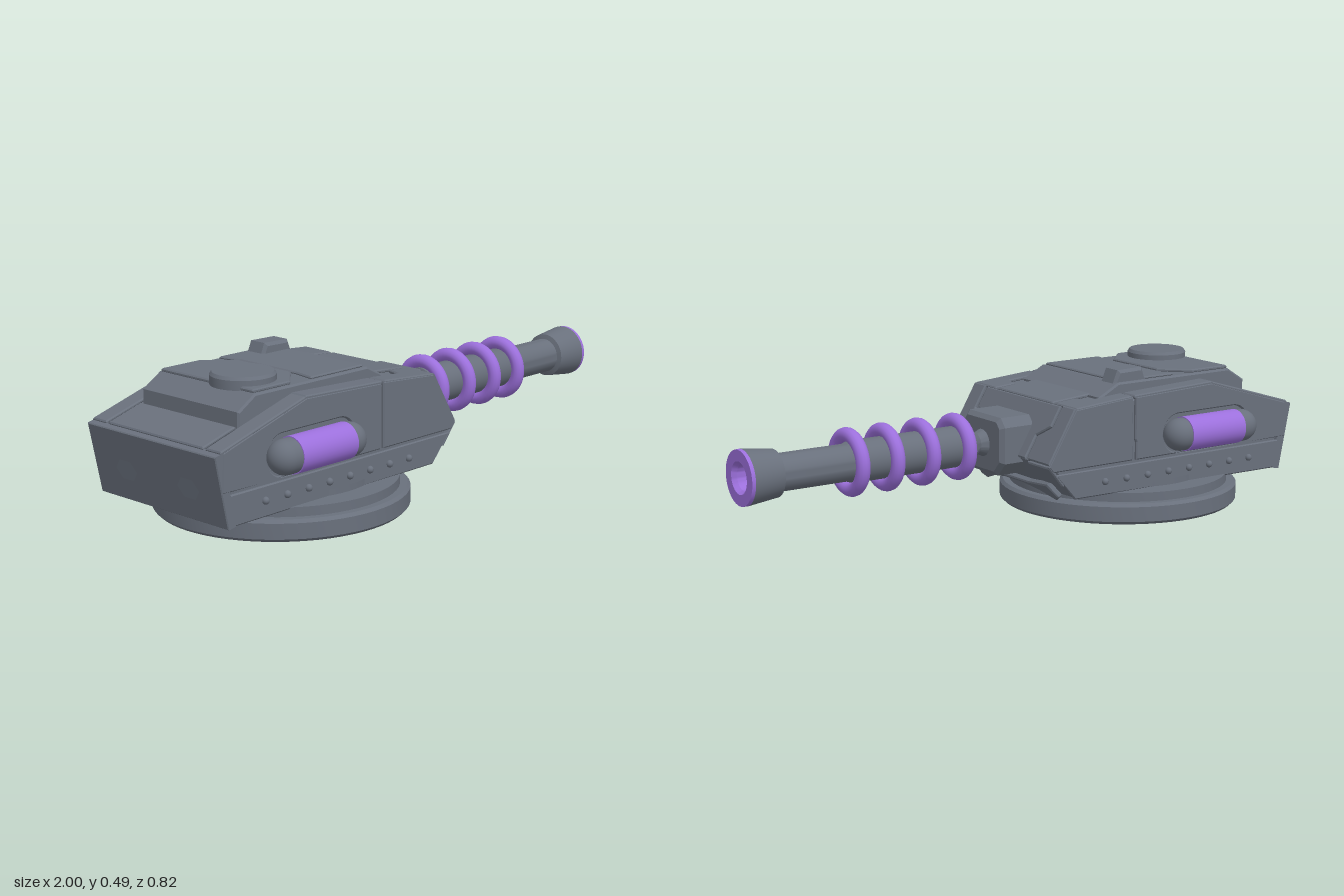
import * as THREE from 'three';
import { toCreasedNormals } from 'three/addons/utils/BufferGeometryUtils.js';

export function createModel() {
  const root = new THREE.Group();
  root.name = 'turret';
  const gunmetal = new THREE.MeshStandardMaterial({ color: 0x69707c });
  gunmetal.name = 'gunmetal grey';
  const violet = new THREE.MeshStandardMaterial({ color: 0x9c70dc });
  violet.name = 'energy violet';

  function add(name, geometry, material = gunmetal, x = 0, y = 0, z = 0) {
    const mesh = new THREE.Mesh(geometry, material);
    mesh.name = name;
    mesh.position.set(x, y, z);
    root.add(mesh);
    return mesh;
  }
  const shapeOf = (pts) => new THREE.Shape(pts.map(([x, y]) => new THREE.Vector2(x, y)));

  // Extrusion whose bevel stays inside the outline and the given depth
  function extrude(shape, depth, bevel) {
    const g = new THREE.ExtrudeGeometry(shape, {
      depth: depth - 2 * bevel, bevelEnabled: bevel > 0, bevelSize: bevel,
      bevelThickness: bevel, bevelOffset: -bevel, bevelSegments: 1, curveSegments: 12,
    });
    return g.translate(0, 0, bevel);
  }

  // Side profile extruded symmetrically across the hull
  const across = (name, pts, halfWidth, bevel) =>
    add(name, extrude(shapeOf(pts), 2 * halfWidth, bevel), gunmetal, 0, 0, -halfWidth);

  // Armour plate lying on a slope: points are [z, distance along the slope]
  function slopePlate(name, from, to, pts, depth, bevel = 0.004, holes = []) {
    const v = new THREE.Vector3(to[0] - from[0], to[1] - from[1], 0).normalize();
    const n = new THREE.Vector3(v.y, -v.x, 0);
    const flip = (list) => list.map(([z, t]) => [-z, t]);
    const shape = shapeOf(flip(pts));
    holes.forEach((h) => shape.holes.push(shapeOf(flip(h))));
    const mesh = add(name, extrude(shape, depth, bevel));
    const m = new THREE.Matrix4().makeBasis(new THREE.Vector3(0, 0, -1), v, n);
    mesh.quaternion.setFromRotationMatrix(m);
    mesh.position.set(from[0], from[1], 0);
  }
  const rect = (z0, z1, t0, t1) => [[z0, t0], [z1, t0], [z1, t1], [z0, t1]];

  // Profile [radius, x] turned around the barrel axis
  function turned(name, pts, material, y = 0.26) {
    const g = new THREE.LatheGeometry(pts.map(([r, x]) => new THREE.Vector2(r, x)), 40);
    g.rotateZ(-Math.PI / 2);
    return add(name, toCreasedNormals(g, 0.5), material, 0, y, 0);
  }

  // Turntable
  const basePts = [[0, 0], [0.4, 0], [0.41, 0.01], [0.41, 0.06], [0.4, 0.07], [0.377, 0.07],
    [0.377, 0.1], [0.3, 0.1], [0.3, 0.12]].map(([r, y]) => new THREE.Vector2(r, y));
  add('turntable', toCreasedNormals(new THREE.LatheGeometry(basePts, 64), 0.5), gunmetal, -0.46);

  // Hull core, slightly inside the armour plates
  across('hullCore', [[-0.925, 0.095], [-0.06, 0.105], [0.036, 0.22], [-0.066, 0.39],
    [-0.25, 0.404], [-0.63, 0.418], [-0.965, 0.318]], 0.279, 0.008);

  // Raised roof and its forward-pointing rear panel
  across('raisedRoof', [[-0.84, 0.35], [-0.84, 0.405], [-0.77, 0.449], [-0.29, 0.449],
    [-0.21, 0.408], [-0.21, 0.39]], 0.217, 0.006);
  slopePlate('rearRoofPanel', [-0.53, 0.447], [-0.77, 0.447],
    [[-0.12, 0], [0.12, 0], [0.205, 0.085], [0.205, 0.24], [-0.205, 0.24], [-0.205, 0.085]], 0.013);
  slopePlate('frontRoofPanel', [-0.3, 0.447], [-0.62, 0.447],
    [[-0.205, 0], [0.205, 0], [0.205, 0.23], [0.125, 0.215], [-0.125, 0.215], [-0.205, 0.23]], 0.01);

  // Round hatch and sight box
  const hatchPts = [[0.102, 0], [0.102, 0.03], [0.095, 0.04], [0, 0.04]];
  add('hatch', toCreasedNormals(new THREE.LatheGeometry(
    hatchPts.map(([r, y]) => new THREE.Vector2(r, y)), 40), 0.5), gunmetal, -0.695, 0.447, 0.083);
  const sight = extrude(shapeOf([[-0.42, 0.44], [-0.28, 0.44], [-0.3, 0.488], [-0.4, 0.49]]), 0.08, 0.01);
  add('sightBox', sight, gunmetal, 0, 0, -0.205);

  // Rear plate with two hexagonal pockets
  const hexagon = (cz) => [...Array(6).keys()].map((i) => [
    cz + 0.052 * Math.cos(i * Math.PI / 3), 0.13 + 0.04 * Math.sin(i * Math.PI / 3)]);
  slopePlate('rearPlate', [-0.966, 0.322], [-0.918, 0.09], rect(-0.289, 0.289, 0, 0.234),
    0.034, 0.003, [hexagon(-0.14), hexagon(0.14)]);

  // Centre armour between the cheeks
  slopePlate('noseRoof', [-0.064, 0.388], [-0.25, 0.402], rect(-0.155, 0.155, 0, 0.17), 0.013);
  slopePlate('noseFront', [0.036, 0.22], [-0.066, 0.39],
    [[-0.155, 0], [0.155, 0], [0.155, 0.085], [0.21, 0.125], [0.21, 0.2], [-0.21, 0.2],
      [-0.21, 0.125], [-0.155, 0.085]], 0.013);
  // Lower front guard with an arched edge
  slopePlate('lowerGuard', [-0.06, 0.1], [0.036, 0.22],
    [[-0.2, -0.01], [-0.13, 0.02], [-0.05, 0.035], [0.05, 0.035], [0.13, 0.02], [0.2, -0.01],
      [0.225, 0.01], [0.205, 0.065], [0.09, 0.05], [-0.09, 0.05], [-0.205, 0.065], [-0.225, 0.01]], 0.02);

  // Opening around a side pod
  const podHole = new THREE.Path();
  podHole.absarc(-0.49, 0.27, 0.066, -Math.PI / 2, Math.PI / 2, false);
  podHole.absarc(-0.73, 0.27, 0.066, Math.PI / 2, Math.PI * 1.5, false);
  podHole.closePath();

  for (const s of [1, -1]) {
    const side = s > 0 ? 'left' : 'right';
    const sidePanel = (name, shape, depth = 0.014) =>
      add(side + name, extrude(shape, depth, 0.004), gunmetal, 0, 0, s > 0 ? 0.277 : -0.277 - depth);

    // Side armour
    const rear = shapeOf([[-0.975, 0.2], [-0.31, 0.2], [-0.31, 0.26], [-0.305, 0.27], [-0.305, 0.412],
      [-0.63, 0.424], [-0.97, 0.322]]);
    rear.holes.push(podHole);
    sidePanel('SidePanel', rear);
    sidePanel('Cheek', shapeOf([[-0.295, 0.2], [-0.295, 0.414], [-0.06, 0.397], [0.047, 0.22], [0.03, 0.2]]));
    sidePanel('Skirt', shapeOf([[-0.968, 0.19], [-0.948, 0.092], [-0.06, 0.1], [0.018, 0.19]]), 0.012);

    // Cheek armour on the nose, above and below its leading edge
    slopePlate(side + 'CheekFront', [0.036, 0.22], [-0.066, 0.39],
      [[s * 0.17, 0], [s * 0.289, 0], [s * 0.289, 0.203], [s * 0.222, 0.203],
        [s * 0.222, 0.12], [s * 0.17, 0.08]], 0.014);
    slopePlate(side + 'CheekLower', [-0.03, 0.14], [0.036, 0.22], rect(s * 0.17, s * 0.289, 0.02, 0.108), 0.012);

    // Roof edge armour
    slopePlate(side + 'FrontRoofEdge', [-0.062, 0.388], [-0.25, 0.402],
      [[s * 0.17, 0], [s * 0.289, 0], [s * 0.289, 0.23], [s * 0.225, 0.23], [s * 0.225, 0.1], [s * 0.17, 0.08]], 0.013);
    slopePlate(side + 'MiddleRoofEdge', [-0.3, 0.405], [-0.63, 0.418], rect(s * 0.225, s * 0.289, 0, 0.335), 0.013);
    slopePlate(side + 'RearRoofEdge', [-0.63, 0.418], [-0.965, 0.318], rect(s * 0.225, s * 0.289, 0, 0.36), 0.012);

    // Glowing side pod
    const pod = new THREE.CapsuleGeometry(0.055, 0.27, 10, 28).rotateZ(Math.PI / 2);
    add(side + 'Pod', pod, gunmetal, -0.61, 0.27, s * 0.312);
    const band = new THREE.CylinderGeometry(0.058, 0.058, 0.23, 32).rotateZ(Math.PI / 2);
    add(side + 'PodGlow', band, violet, -0.605, 0.27, s * 0.312);

    // Skirt rivets
    for (let i = 0; i < 8; i++) {
      const rivet = new THREE.SphereGeometry(0.012, 12, 8);
      add(side + 'Rivet', rivet, gunmetal, -0.805 + i * 0.0893, 0.145, s * 0.291);
    }
  }

  // Rear roof slope in the middle
  slopePlate('rearRoofSlope', [-0.63, 0.418], [-0.965, 0.318], rect(-0.213, 0.213, 0.225, 0.36), 0.012);

  // Gun mantlet
  slopePlate('mantlet', [-0.03, 0.16], [-0.03, 0.36],
    [[-0.075, 0], [0.075, 0], [0.115, 0.045], [0.115, 0.165], [0.09, 0.195], [-0.09, 0.195],
      [-0.115, 0.165], [-0.115, 0.045]], 0.14, 0.014);

  // Barrel with flared muzzle
  turned('barrel', [[0, 0.09], [0.05, 0.1], [0.034, 0.135], [0.056, 0.165], [0.056, 0.19], [0.068, 0.195],
    [0.068, 0.61], [0.06, 0.63], [0.06, 0.875], [0.076, 0.88], [0.089, 0.988]], gunmetal);
  turned('muzzleGlow', [[0.089, 0.988], [0.088, 1], [0.052, 1], [0.042, 0.985], [0.04, 0.91], [0, 0.91]], violet);

  // Coil rings
  for (const x of [0.215, 0.353, 0.487, 0.615]) {
    add('coilRing', new THREE.TorusGeometry(0.088, 0.023, 14, 40).rotateY(Math.PI / 2), violet, x, 0.26, 0);
  }
  return root;
}
